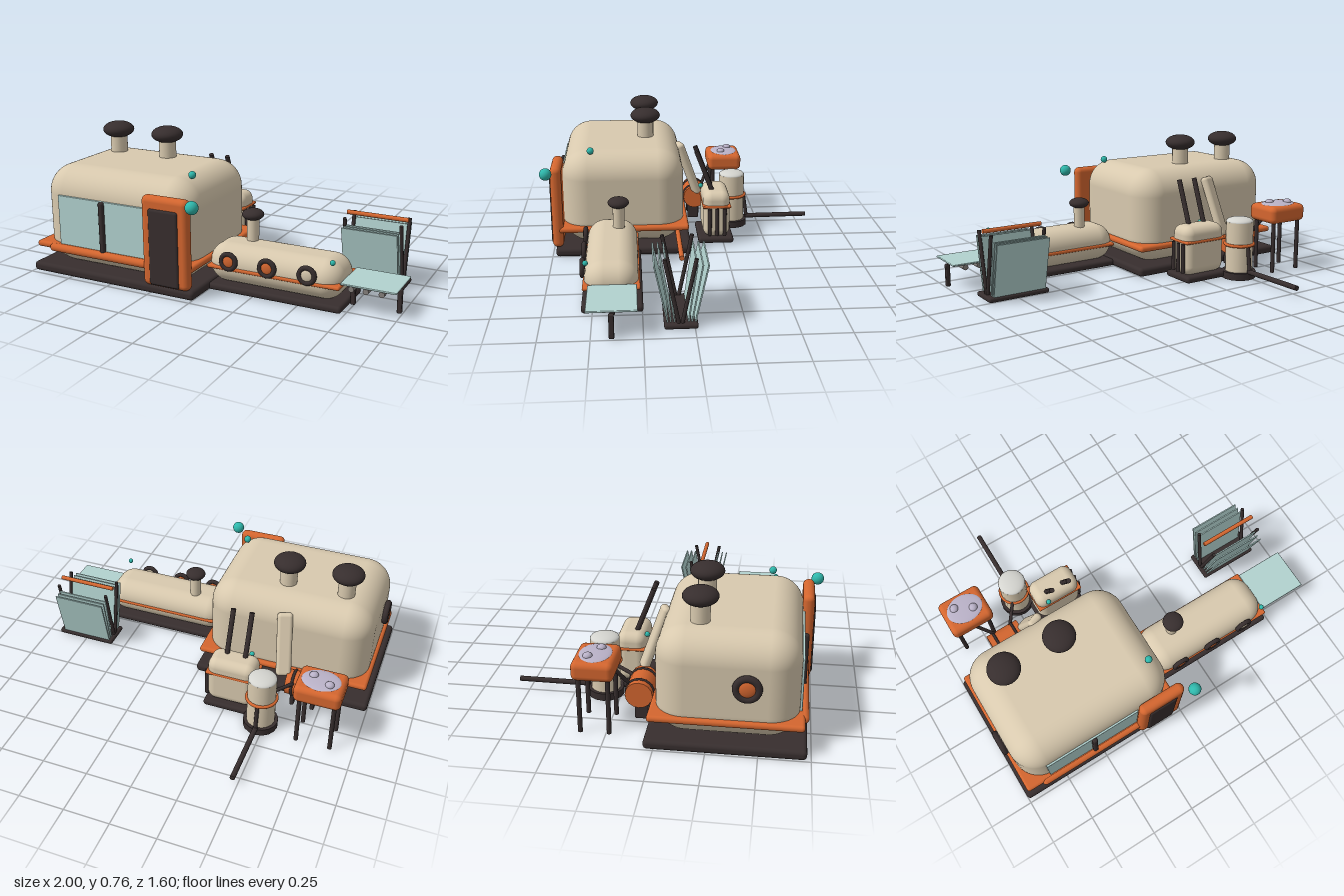
import * as THREE from 'three';
import { RoundedBoxGeometry } from 'three/addons/geometries/RoundedBoxGeometry.js';

const material = (name, color, side = THREE.FrontSide) => {
  const m = new THREE.MeshStandardMaterial({ color, side });
  m.name = name;
  return m;
};

export function createModel() {
  const cream = material('cream', 0xd8c9ae);
  const orange = material('orange', 0xd4662f);
  const dark = material('dark', 0x372e2e);
  const glass = material('glass', 0xb2d2cf);
  const teal = material('teal', 0x2fb8ac);
  const lilac = material('lilac', 0xbab2c8);
  const pale = material('pale', 0xd4d4cf);
  const grey = material('grey', 0x85807c);

  const model = new THREE.Group();
  model.name = 'campHouse';

  const add = (name, geometry, mat, x = 0, y = 0, z = 0, parent = model) => {
    const mesh = new THREE.Mesh(geometry, mat);
    mesh.name = name;
    mesh.position.set(x, y, z);
    parent.add(mesh);
    return mesh;
  };
  // Rounded box given by its extents on each axis
  const block = (name, mat, [x0, x1], [y0, y1], [z0, z1], r, seg = 4) => {
    const w = x1 - x0, h = y1 - y0, d = z1 - z0;
    return add(name, new RoundedBoxGeometry(w, h, d, seg, Math.min(r, w / 2, h / 2, d / 2)), mat,
      (x0 + x1) / 2, (y0 + y1) / 2, (z0 + z1) / 2);
  };
  // Round rod between two points
  const rod = (name, mat, a, b, r) => {
    const p = new THREE.Vector3(...a), q = new THREE.Vector3(...b);
    const dir = q.clone().sub(p);
    const mesh = add(name, new THREE.CylinderGeometry(r, r, dir.length(), 16), mat);
    mesh.position.copy(p).add(q).multiplyScalar(0.5);
    mesh.quaternion.setFromUnitVectors(new THREE.Vector3(0, 1, 0), dir.normalize());
    return mesh;
  };
  const ball = (name, mat, x, y, z, r, sy = 1, sz = 1) => {
    const mesh = add(name, new THREE.SphereGeometry(r, 28, 18), mat, x, y, z);
    mesh.scale.set(1, sy, sz);
    return mesh;
  };
  const chimney = (x, z, y0, y1, r, capR) => {
    rod('chimneyStem', cream, [x, y0, z], [x, y1, z], r);
    ball('chimneyCap', dark, x, y1 + capR * 0.25, z, capR, 0.52);
  };
  const porthole = (x, y, z, r, mat, turn = 0) => {
    const g = new THREE.Group();
    g.name = 'porthole';
    g.position.set(x, y, z);
    g.rotation.y = turn;
    model.add(g);
    add('portholeRing', new THREE.TorusGeometry(r, r * 0.32, 12, 32), dark, 0, 0, 0, g);
    const lens = add('portholeLens', new THREE.SphereGeometry(r * 0.85, 24, 16), mat, 0, 0, 0, g);
    lens.scale.z = 0.35;
  };

  // Main house
  block('houseBase', dark, [-1, 0.01], [0.005, 0.055], [-0.05, 0.73], 0.02);
  block('houseBody', cream, [-0.96, -0.03], [0.045, 0.595], [-0.01, 0.69], 0.15, 8);
  block('houseTrim', orange, [-0.98, -0.005], [0.143, 0.177], [-0.035, 0.715], 0.016);
  for (const x of [-0.77, -0.445]) chimney(x, 0.2, 0.58, 0.7, 0.048, 0.088);
  porthole(-0.975, 0.355, 0.44, 0.054, orange, -Math.PI / 2);

  // Front window
  block('windowPane', glass, [-0.83, -0.27], [0.155, 0.45], [0.686, 0.7], 0.004, 2);
  block('windowDivider', dark, [-0.56, -0.53], [0.165, 0.45], [0.69, 0.72], 0.012);
  const sill = add('windowSill', new THREE.CapsuleGeometry(0.022, 0.6, 6, 16), orange, -0.565, 0.155, 0.712);
  sill.rotation.z = Math.PI / 2;

  // Door
  block('doorFrame', orange, [-0.275, -0.005], [0.055, 0.535], [0.685, 0.748], 0.03);
  block('doorPanel', dark, [-0.23, -0.055], [0.065, 0.475], [0.72, 0.756], 0.016);

  // Side annex
  block('annexBase', dark, [-0.02, 0.735], [0.008, 0.045], [0.245, 0.555], 0.016);
  block('annexBody', cream, [-0.025, 0.718], [0.038, 0.25], [0.265, 0.54], 0.1, 8);
  block('annexTrim', orange, [-0.01, 0.722], [0.125, 0.145], [0.258, 0.547], 0.009);
  chimney(0.17, 0.365, 0.24, 0.375, 0.032, 0.058);
  [orange, orange, cream].forEach((m, i) => porthole(0.12 + i * 0.217, 0.18, 0.55, 0.04, m));

  // Fold-out shelf
  block('shelf', glass, [0.715, 1], [0.148, 0.158], [0.275, 0.52], 0.004, 2);
  for (const x of [0.77, 0.845, 0.925]) rod('shelfRod', grey, [x, 0.132, 0.285], [x, 0.132, 0.51], 0.015);
  for (const x of [0.745, 0.985]) block('shelfLeg', dark, [x - 0.012, x + 0.012], [0.008, 0.135], [0.387, 0.413], 0.006);

  // Panel rack: leaning panes held by V-shaped posts
  block('rackBase', dark, [0.575, 0.925], [0.008, 0.035], [-0.015, 0.15], 0.012);
  for (const x of [0.595, 0.9]) {
    for (const s of [-1, 1]) rod('rackPost', dark, [x, 0.03, 0.07 + s * 0.008], [x, 0.365, 0.07 + s * 0.076], 0.01);
  }
  rod('rackBar', orange, [0.58, 0.375, 0.065], [0.915, 0.375, 0.065], 0.012);
  for (const s of [-1, 1]) {
    for (let i = 0; i < 3; i++) {
      const pane = add('rackPane', new THREE.BoxGeometry(0.3, 0.3, 0.007), glass,
        0.745, 0.18, 0.065 + s * (0.055 + i * 0.022));
      pane.rotation.x = s * (0.14 + i * 0.035);
    }
  }

  // Horizontal tank behind the house
  rod('fuelTank', orange, [-0.75, 0.155, -0.108], [-0.555, 0.155, -0.108], 0.07);
  for (const x of [-0.71, -0.593]) {
    const strap = add('tankStrap', new THREE.TorusGeometry(0.069, 0.008, 8, 32), dark, x, 0.155, -0.108);
    strap.rotation.y = Math.PI / 2;
    block('tankStand', dark, [x - 0.012, x + 0.012], [0.005, 0.13], [-0.135, -0.065], 0.008);
  }
  rod('tankPipe', dark, [-0.7, 0.19, -0.16], [-0.79, 0.33, -0.23], 0.01);
  rod('tankPipe', dark, [-0.6, 0.19, -0.16], [-0.52, 0.2, -0.27], 0.01);

  // Leaning flue slab
  const slab = add('leaningFlue', new RoundedBoxGeometry(0.085, 0.36, 0.045, 4, 0.02), cream, -0.51, 0.365, -0.06);
  slab.rotation.set(0.36, 0.35, 0, 'YXZ');

  // Vented cabinet with two leaning pipes
  block('cabinetBase', dark, [-0.425, -0.13], [0.008, 0.045], [-0.31, -0.1], 0.016);
  block('cabinetBody', cream, [-0.41, -0.14], [0.04, 0.32], [-0.288, -0.13], 0.05, 6);
  block('cabinetTrim', orange, [-0.415, -0.135], [0.226, 0.242], [-0.293, -0.125], 0.007);
  for (const z of [-0.167, -0.21, -0.255]) rod('cabinetVent', dark, [-0.135, 0.06, z], [-0.135, 0.225, z], 0.011);
  for (const x of [-0.33, -0.225]) rod('leaningPipe', dark, [x, 0.3, -0.19], [x, 0.555, -0.092], 0.014);

  // Upright water drum and its drain pipe
  rod('drumBase', dark, [-0.475, 0.005, -0.332], [-0.475, 0.045, -0.332], 0.096);
  rod('drumBody', cream, [-0.475, 0.04, -0.332], [-0.475, 0.33, -0.332], 0.078);
  ball('drumLid', pale, -0.475, 0.33, -0.332, 0.077, 0.32);
  const band = add('drumBand', new THREE.TorusGeometry(0.081, 0.009, 10, 36), orange, -0.475, 0.2, -0.332);
  band.rotation.x = Math.PI / 2;
  rod('drainDrop', dark, [-0.475, 0.2, -0.408], [-0.475, 0.055, -0.428], 0.011);
  rod('drainPipe', dark, [-0.475, 0.052, -0.42], [-0.475, 0.055, -0.805], 0.014);

  // Table with an oval basin
  block('tableTop', orange, [-0.907, -0.655], [0.295, 0.395], [-0.413, -0.203], 0.03);
  for (const x of [-0.875, -0.69]) {
    for (const z of [-0.38, -0.235]) rod('tableLeg', dark, [x, 0.005, z], [x, 0.31, z], 0.012);
  }
  ball('tableBasin', lilac, -0.78, 0.393, -0.31, 0.105, 0.12, 0.78);
  ball('basinKnob', lilac, -0.83, 0.402, -0.338, 0.024, 0.8);
  ball('basinKnob', lilac, -0.735, 0.402, -0.29, 0.024, 0.8);

  // Glowing lamps
  for (const [x, y, z, r] of [[-0.1, 0.605, 0.52, 0.02], [0.037, 0.515, 0.765, 0.034],
    [0.68, 0.26, 0.528, 0.014], [-0.35, 0.302, -0.128, 0.014]]) ball('lamp', teal, x, y, z, r);

  return model;
}
